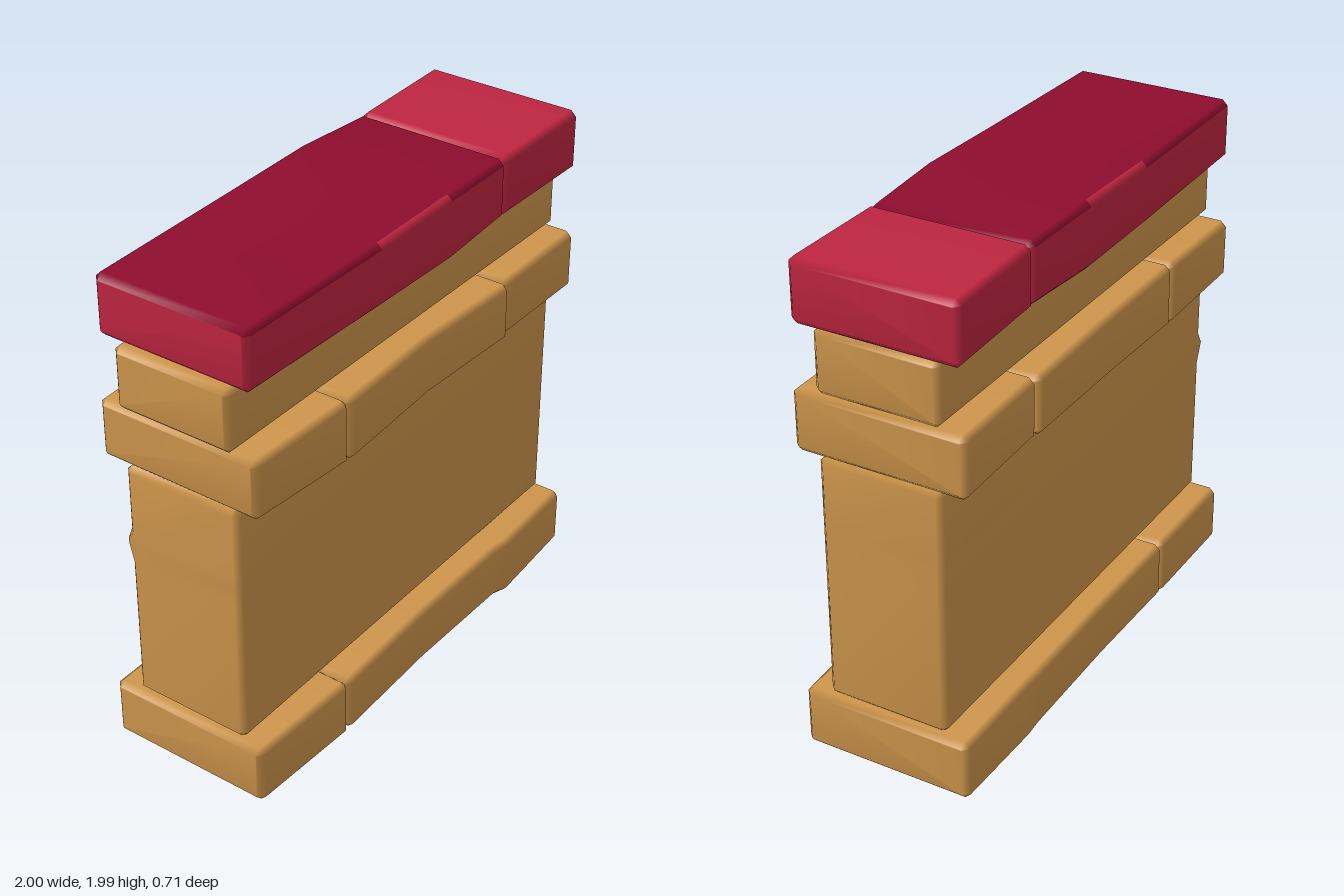
import * as THREE from 'three';

const BEVEL = 0.022;

const material = (name, color) => {
  const m = new THREE.MeshStandardMaterial({ color });
  m.name = name;
  return m;
};

// Bevelled block lofted along x. Each station is [x, y0, y1, z0, z1].
// isTrim(edge, x) picks the faces that take the second material.
function bevelledBlock(stations, isTrim = () => false) {
  const b = BEVEL;
  const first = stations[0], last = stations[stations.length - 1];
  const rings = [
    { s: first, x: first[0], inset: b, c: b * 0.2 },
    { s: first, x: first[0] + b, inset: 0, c: b },
    ...stations.slice(1, -1).map((s) => ({ s, x: s[0], inset: 0, c: b })),
    { s: last, x: last[0] - b, inset: 0, c: b },
    { s: last, x: last[0], inset: b, c: b * 0.2 },
  ];
  const positions = [], main = [], trim = [];
  for (const { s, x, inset, c } of rings) {
    const y0 = s[1] + inset, y1 = s[2] - inset, z0 = s[3] + inset, z1 = s[4] - inset;
    const octagon = [
      [y1, z1 - c], [y1 - c, z1], [y0 + c, z1], [y0, z1 - c],
      [y0, z0 + c], [y0 + c, z0], [y1 - c, z0], [y1, z0 + c],
    ];
    for (const [y, z] of octagon) positions.push(x, y, z);
  }
  for (let i = 0; i < rings.length - 1; i++) {
    for (let k = 0; k < 8; k++) {
      const n = (k + 1) % 8, p = i * 8, q = p + 8;
      const list = isTrim(k, (rings[i].x + rings[i + 1].x) / 2) ? trim : main;
      list.push(p + k, p + n, q + n, p + k, q + n, q + k);
    }
  }
  // End caps
  const e = (rings.length - 1) * 8;
  for (let k = 1; k < 7; k++) main.push(0, k + 1, k, e, e + k, e + k + 1);

  const geo = new THREE.BufferGeometry();
  geo.setAttribute('position', new THREE.Float32BufferAttribute(positions, 3));
  geo.setIndex([...main, ...trim]);
  geo.addGroup(0, main.length, 0);
  if (trim.length) geo.addGroup(main.length, trim.length, 1);
  geo.computeVertexNormals();
  return geo;
}

export function createModel() {
  const model = new THREE.Group();
  model.name = 'blockWall';
  const stone = material('sandstone', 0xcd954b);
  const red = material('crimson', 0xbe2540);
  const darkRed = material('darkCrimson', 0x8e0d2e);

  const add = (name, geo, mats) => {
    const mesh = new THREE.Mesh(geo, mats);
    mesh.name = name;
    model.add(mesh);
  };
  const addStone = (name, stations) => add(name, bevelledBlock(stations), [stone]);

  // Base course
  addStone('baseShortBlock', [
    [-1, 0.015, 0.257, -0.355, 0.325],
    [-0.5, 0.012, 0.257, -0.355, 0.345],
  ]);
  addStone('baseLongBlock', [
    [-0.5, 0.015, 0.257, -0.355, 0.345],
    [0, 0.015, 0.257, -0.35, 0.33],
    [0.5, 0.012, 0.257, -0.355, 0.335],
    [0.57, 0.002, 0.262, -0.355, 0.35],
    [1, 0.012, 0.257, -0.355, 0.33],
  ]);

  // Main wall, lofted upright, with a chipped ridge on one back corner
  const wall = bevelledBlock([
    [0.255, -0.98, 0.98, -0.257, 0.235],
    [0.84, -0.98, 0.98, -0.257, 0.235],
    [0.93, -0.98, 0.98, -0.257, 0.235],
    [0.97, -0.98, 0.98, -0.257, 0.235],
    [1.245, -0.98, 0.98, -0.257, 0.235],
  ]);
  const pos = wall.attributes.position;
  for (let i = 0; i < pos.count; i++) {
    if (Math.abs(pos.getX(i) - 0.93) < 0.01 && pos.getY(i) > 0 && pos.getZ(i) < 0) {
      pos.setY(i, pos.getY(i) + 0.013);
      pos.setZ(i, pos.getZ(i) - 0.008);
    }
  }
  wall.rotateZ(Math.PI / 2);
  wall.computeVertexNormals();
  add('wallPanel', wall, [stone]);

  // Projecting belt of three blocks
  addStone('beltRightBlock', [
    [-0.98, 1.245, 1.483, -0.355, 0.325],
    [-0.5, 1.235, 1.492, -0.355, 0.35],
  ]);
  addStone('beltMiddleBlock', [
    [-0.5, 1.235, 1.492, -0.355, 0.352],
    [0, 1.24, 1.487, -0.35, 0.33],
    [0.495, 1.245, 1.483, -0.355, 0.352],
  ]);
  addStone('beltLeftBlock', [
    [0.495, 1.245, 1.485, -0.345, 0.335],
    [0.98, 1.24, 1.485, -0.355, 0.33],
  ]);

  // Recessed course under the cap
  addStone('upperCourse', [
    [-1, 1.485, 1.735, -0.257, 0.235],
    [0.98, 1.485, 1.735, -0.257, 0.235],
  ]);

  // Cap slabs: the long one has a dark top, with a gap in the dark edge bevels
  const darkTop = (edge, x) =>
    edge === 7 || ((edge === 0 || edge === 6) && (x < -0.28 || x > 0.13));
  add('capLongSlab', bevelledBlock([
    [-0.985, 1.738, 1.977, -0.335, 0.31],
    [-0.28, 1.732, 1.98, -0.345, 0.322],
    [0.13, 1.727, 1.988, -0.345, 0.325],
    [0.502, 1.738, 1.977, -0.33, 0.31],
  ], darkTop), [red, darkRed]);
  add('capShortSlab', bevelledBlock([
    [0.502, 1.738, 1.978, -0.335, 0.31],
    [0.995, 1.735, 1.98, -0.348, 0.31],
  ]), [red]);

  return model;
}
